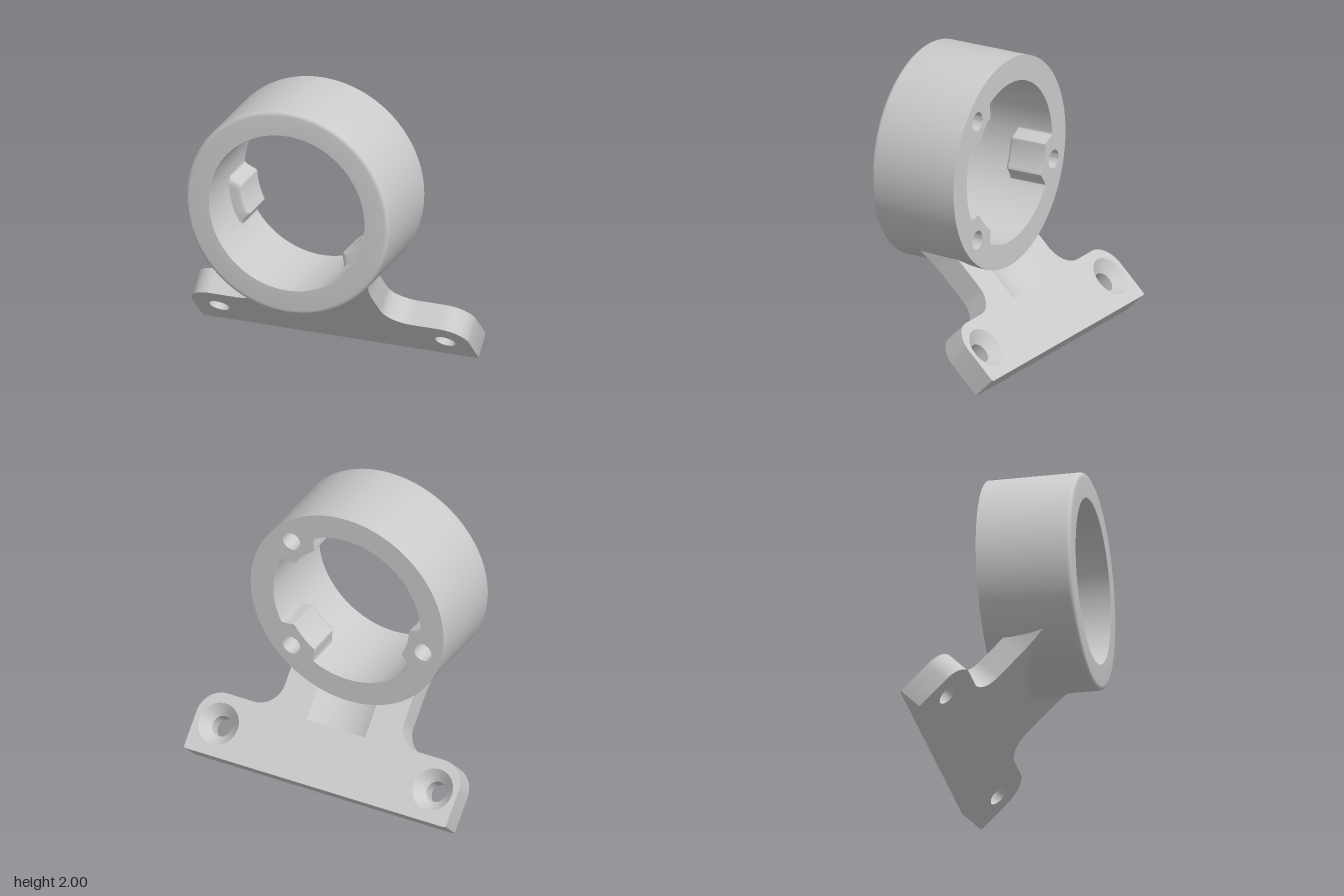
import * as THREE from 'three';
import { toCreasedNormals } from 'three/addons/utils/BufferGeometryUtils.js';

const grey = new THREE.MeshStandardMaterial({ color: 0xcccccc });
const greyDouble = new THREE.MeshStandardMaterial({ color: 0xcccccc, side: THREE.DoubleSide });
const RAD = Math.PI / 180;

// Ring
const CY = 1.275, R_OUT = 0.725, R_IN = 0.555, Z_FRONT = 0.55, Z_BACK = -0.09;
const EDGE = 0.03, TAB_FRONT = 0.19, TAB_DEPTH = 0.09;
const TAB_ANGLES = [45, 195, 315];
const SEG = 360;

// Plate, tilted 45 degrees
const THICK = 0.177, UPPER = 0.073, PLATE_Z = -0.42;
const HOLE_X = 0.805, HOLE_S = 0.22, HOLE_R = 0.07, SINK_R = 0.143;
const GROOVE_W = 0.22, GROOVE_D = 0.055, GROOVE_START = 0.417, GROOVE_END = 0.78;

function mesh(name, geometry, material = grey) {
  const m = new THREE.Mesh(geometry, material);
  m.name = name;
  return m;
}

// Surface through rows of points
function loft(rows, crease = 0.6) {
  const n = rows[0].length, index = [];
  for (let i = 0; i < rows.length - 1; i++)
    for (let j = 0; j < n - 1; j++) {
      const a = i * n + j, b = a + 1, c = a + n, d = c + 1;
      index.push(a, b, c, b, d, c);
    }
  const g = new THREE.BufferGeometry().setFromPoints(rows.flat());
  g.setIndex(index);
  return toCreasedNormals(g, crease);
}

// Bore radius with three blended tabs, each shrunk by inset
function boreRadius(deg, inset) {
  let r = R_IN;
  for (const a of TAB_ANGLES) {
    const d = Math.abs(((deg - a + 540) % 360) - 180);
    const k = inset / 0.5 / RAD;
    r -= (TAB_DEPTH - inset) * (1 - THREE.MathUtils.smoothstep(d, 12.5 - k, 18.5 - k));
  }
  return r;
}

function ringRow(radius, z) {
  const row = [];
  for (let i = 0; i <= SEG; i++) {
    const deg = (i % SEG) * 360 / SEG;
    const r = typeof radius === 'function' ? radius(deg) : radius;
    row.push(new THREE.Vector3(r * Math.cos(deg * RAD), r * Math.sin(deg * RAD), z));
  }
  return row;
}

function circlePath(x, y, r) {
  return new THREE.Path().absarc(x, y, r, 0, Math.PI * 2, true);
}

function createRing() {
  const ring = new THREE.Group();
  ring.name = 'ring';
  ring.position.y = CY;

  // Outer wall, rounded front edge, front face, bore and tabs in one sweep
  const rows = [ringRow(R_OUT, Z_BACK)];
  for (let i = 0; i <= 5; i++) {
    const t = i * 18 * RAD;
    rows.push(ringRow(R_OUT - EDGE * (1 - Math.cos(t)), Z_FRONT - EDGE * (1 - Math.sin(t))));
  }
  rows.push(ringRow(R_IN, Z_FRONT), ringRow(R_IN, TAB_FRONT + 0.002));
  for (let i = 0; i <= 4; i++) {
    const t = i * 22.5 * RAD;
    const inset = EDGE * (1 - Math.sin(t));
    rows.push(ringRow((deg) => boreRadius(deg, inset), TAB_FRONT - EDGE * (1 - Math.cos(t))));
  }
  const backRow = ringRow((deg) => boreRadius(deg, 0), Z_BACK);
  rows.push(backRow);
  ring.add(mesh('ringBody', loft(rows)));

  // Back face with the bore outline and screw holes cut out
  const flip = (row) => row.slice(0, SEG).map((p) => new THREE.Vector2(-p.x, p.y));
  const face = new THREE.Shape(flip(rows[0]));
  face.holes.push(new THREE.Path(flip(backRow)));
  for (const a of TAB_ANGLES) {
    const x = 0.59 * Math.cos(a * RAD), y = 0.59 * Math.sin(a * RAD);
    face.holes.push(circlePath(-x, y, 0.065));
    const well = [[0, 0.21], [0.065, 0.21], [0.065, 0]].map((p) => new THREE.Vector2(...p));
    const hole = mesh('tabScrewHole', toCreasedNormals(new THREE.LatheGeometry(well, 48), 0.6), greyDouble);
    hole.rotation.x = Math.PI / 2;
    hole.position.set(x, y, Z_BACK);
    ring.add(hole);
  }
  const back = mesh('ringBackFace', new THREE.ShapeGeometry(face, 48));
  back.rotation.y = Math.PI;
  back.position.z = Z_BACK;
  ring.add(back);
  return ring;
}

// Plate outline: wide foot, filleted neck, top edge hidden inside the ring
function plateShape(holeRadius) {
  const s = new THREE.Shape();
  s.moveTo(-0.965, 0);
  s.lineTo(0.965, 0);
  s.quadraticCurveTo(0.985, 0, 0.985, 0.02);
  s.lineTo(0.985, 0.26);
  s.absarc(0.815, 0.26, 0.17, 0, Math.PI / 2, false);
  s.lineTo(0.62, 0.43);
  s.absarc(0.62, 0.6, 0.17, -Math.PI / 2, -Math.PI, true);
  s.lineTo(0.45, 0.8);
  s.quadraticCurveTo(0.45, 1.0, 0.54, 1.19);
  for (let i = 1; i < 24; i++) {
    const x = 0.54 - 0.045 * i;
    s.lineTo(x, (CY - Math.sqrt(0.69 * 0.69 - x * x)) * Math.SQRT2);
  }
  s.lineTo(-0.54, 1.19);
  s.quadraticCurveTo(-0.45, 1.0, -0.45, 0.8);
  s.lineTo(-0.45, 0.6);
  s.absarc(-0.62, 0.6, 0.17, 0, -Math.PI / 2, true);
  s.lineTo(-0.815, 0.43);
  s.absarc(-0.815, 0.26, 0.17, Math.PI / 2, Math.PI, false);
  s.lineTo(-0.985, 0.02);
  s.quadraticCurveTo(-0.985, 0, -0.965, 0);
  for (const side of [-1, 1]) s.holes.push(circlePath(side * HOLE_X, HOLE_S, holeRadius));
  return s;
}

function extrude(shape, depth) {
  return toCreasedNormals(
    new THREE.ExtrudeGeometry(shape, { depth, bevelEnabled: false, curveSegments: 24 }), 0.5);
}

function createPlate() {
  const plate = new THREE.Group();
  plate.name = 'mountingPlate';
  plate.position.z = PLATE_Z;
  plate.rotation.x = Math.PI / 4;

  const lower = mesh('plateLowerLayer', extrude(plateShape(HOLE_R), THICK - UPPER));
  lower.position.z = UPPER - THICK;

  // Upper layer leaves room for the groove and the countersinks
  const shape = plateShape(SINK_R);
  shape.holes.push(new THREE.Path([
    [-GROOVE_W, GROOVE_START], [-GROOVE_W, GROOVE_END],
    [GROOVE_W, GROOVE_END], [GROOVE_W, GROOVE_START],
  ].map((p) => new THREE.Vector2(...p))));
  const upper = mesh('plateUpperLayer', extrude(shape, UPPER));
  upper.position.z = -THICK;
  plate.add(lower, upper);

  // Shallow curved groove floor running up the neck
  const r = (GROOVE_W ** 2 + GROOVE_D ** 2) / (2 * GROOVE_D);
  const floor = [GROOVE_START, GROOVE_END].map((s) => Array.from({ length: 25 }, (_, i) => {
    const x = GROOVE_W * (i / 12 - 1);
    const depth = Math.sqrt(r * r - x * x) - (r - GROOVE_D);
    return new THREE.Vector3(x, s, -THICK + depth);
  }));
  plate.add(mesh('grooveFloor', loft(floor), greyDouble));

  // Countersinks
  for (const side of [-1, 1]) {
    const cone = mesh('countersink',
      new THREE.CylinderGeometry(HOLE_R, SINK_R, UPPER, 48, 1, true), greyDouble);
    cone.rotation.x = Math.PI / 2;
    cone.position.set(side * HOLE_X, HOLE_S, -THICK + UPPER / 2);
    plate.add(cone);
  }
  return plate;
}

// Soft blend between the ring's underside and the plate's front face
function createBlend() {
  const rows = [];
  for (let i = 0; i <= 40; i++) {
    const x = -0.45 + 0.9 * i / 40;
    const y = CY - Math.sqrt(R_OUT * R_OUT - x * x), z = y - 0.42;
    const curve = new THREE.QuadraticBezierCurve3(
      new THREE.Vector3(x, y, z + 0.08),
      new THREE.Vector3(x, y, z),
      new THREE.Vector3(x, y - 0.055, z - 0.055));
    rows.push(curve.getPoints(8));
  }
  return mesh('neckBlend', loft(rows), greyDouble);
}

export function createModel() {
  const model = new THREE.Group();
  model.name = 'ringBracket';
  model.add(createRing(), createPlate(), createBlend());
  return model;
}
